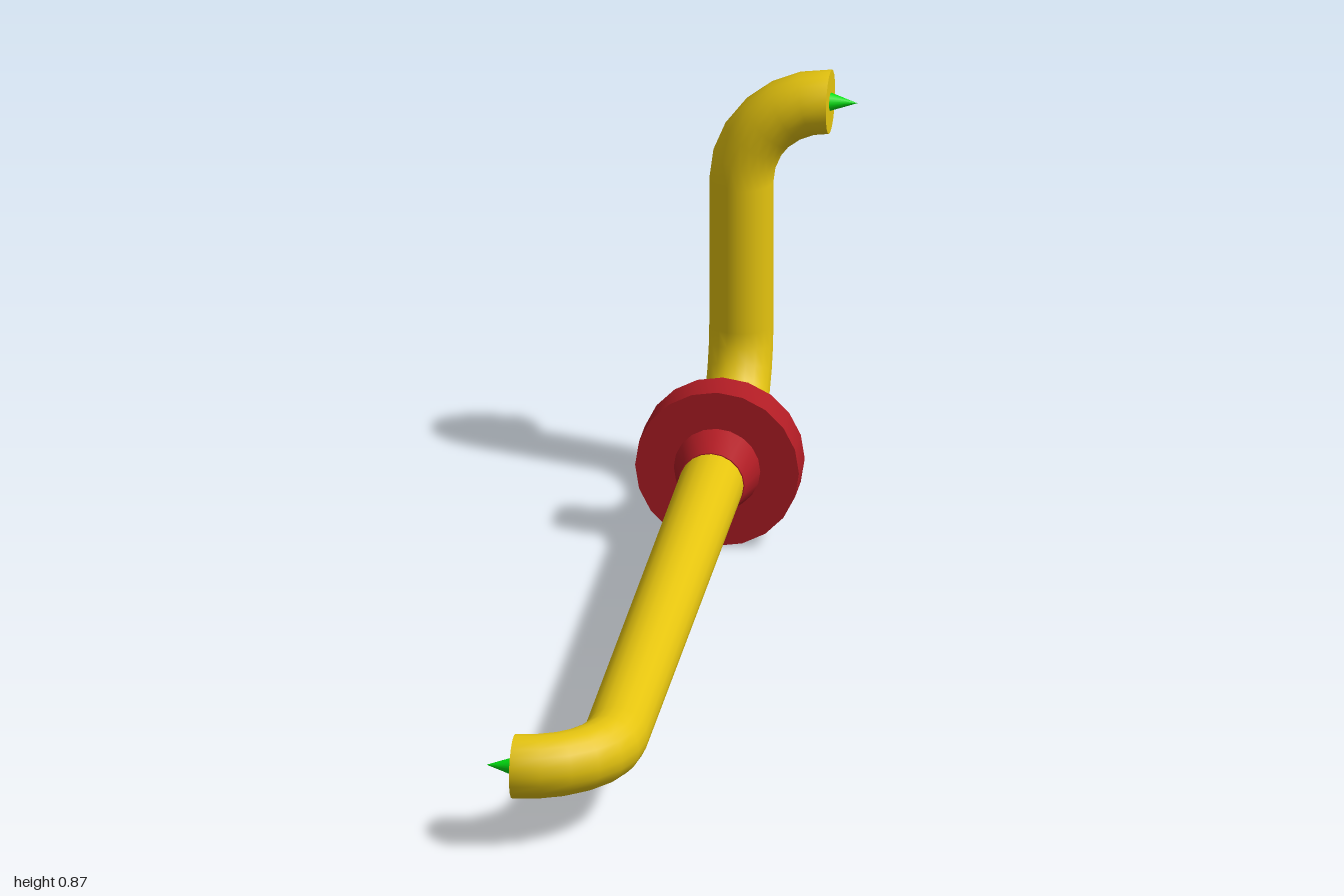
import * as THREE from 'three';
import { toCreasedNormals } from 'three/addons/utils/BufferGeometryUtils.js';

const SIDES = 20;
const PIPE_R = 0.063;   // pipe radius
const BEND_R = 0.175;   // elbow centre-line radius
const AXIS_Y = 0.162;   // height of the long run
const END_Z = 0.937;    // centre line of both end legs
const BEND_Z = END_Z - BEND_R;
const TOP_Y = 0.811;    // height of the upper outlet
const FLANGE_Z = -0.647;

const yellow = new THREE.MeshStandardMaterial({ color: 0xe5c40f });
const red = new THREE.MeshStandardMaterial({ color: 0xb01c24 });
const green = new THREE.MeshStandardMaterial({ color: 0x00e010 });
const vec = (x, y, z) => new THREE.Vector3(x, y, z);
const UP = vec(0, 1, 0);

function add(parent, name, geometry, material) {
  const mesh = new THREE.Mesh(geometry, material);
  mesh.name = name;
  parent.add(mesh);
  return mesh;
}

// Straight pipe between two points
function straight(parent, name, a, b) {
  const dir = b.clone().sub(a);
  const mesh = add(parent, name, new THREE.CylinderGeometry(PIPE_R, PIPE_R, dir.length(), SIDES), yellow);
  mesh.position.copy(a).add(b).multiplyScalar(0.5);
  mesh.quaternion.setFromUnitVectors(UP, dir.normalize());
}

// Quarter bend around a centre, sweeping from direction a to direction b
function elbow(parent, name, centre, a, b) {
  const geometry = new THREE.TorusGeometry(BEND_R, PIPE_R, SIDES, 6, Math.PI / 2);
  geometry.applyMatrix4(new THREE.Matrix4().makeBasis(a, b, a.clone().cross(b)));
  add(parent, name, geometry, yellow).position.copy(centre);
}

// Flat pipe end with a small arrow cone pointing along x
function outlet(parent, name, position, side) {
  const group = new THREE.Group();
  group.name = name;
  const cap = add(group, 'endCap', new THREE.CircleGeometry(PIPE_R, SIDES), yellow);
  cap.rotation.y = side * Math.PI / 2;
  const cone = add(group, 'directionArrow', new THREE.ConeGeometry(0.018, 0.053, 16), green);
  cone.rotation.z = -side * Math.PI / 2;
  cone.position.x = side * 0.0265;
  group.position.copy(position);
  parent.add(group);
}

export function createModel() {
  const model = new THREE.Group();
  model.name = 'pipeAssembly';

  // Straight runs
  straight(model, 'longPipe', vec(0, AXIS_Y, -BEND_Z), vec(0, AXIS_Y, BEND_Z));
  straight(model, 'riserPipe', vec(0, AXIS_Y + BEND_R, -END_Z), vec(0, TOP_Y - BEND_R, -END_Z));

  // Elbows
  elbow(model, 'frontElbow', vec(-BEND_R, AXIS_Y, BEND_Z), vec(1, 0, 0), vec(0, 0, 1));
  elbow(model, 'rearElbow', vec(0, AXIS_Y + BEND_R, -BEND_Z), vec(0, -1, 0), vec(0, 0, -1));
  elbow(model, 'topElbow', vec(BEND_R, TOP_Y - BEND_R, -END_Z), vec(-1, 0, 0), vec(0, 1, 0));

  // Open ends
  outlet(model, 'frontOutlet', vec(-BEND_R, AXIS_Y, END_Z), -1);
  outlet(model, 'topOutlet', vec(BEND_R, TOP_Y, -END_Z), 1);

  // Flange: wide disc with a tapered hub on both faces
  const profile = [
    [0, -0.115], [0.065, -0.115], [0.085, -0.039], [0.161, -0.039],
    [0.161, 0.039], [0.085, 0.039], [0.065, 0.115], [0, 0.115],
  ].map(([r, y]) => new THREE.Vector2(r, y));
  const flange = add(model, 'flange', toCreasedNormals(new THREE.LatheGeometry(profile, SIDES), 0.33), red);
  flange.rotation.x = Math.PI / 2;
  flange.position.set(0, AXIS_Y, FLANGE_Z);

  return model;
}
